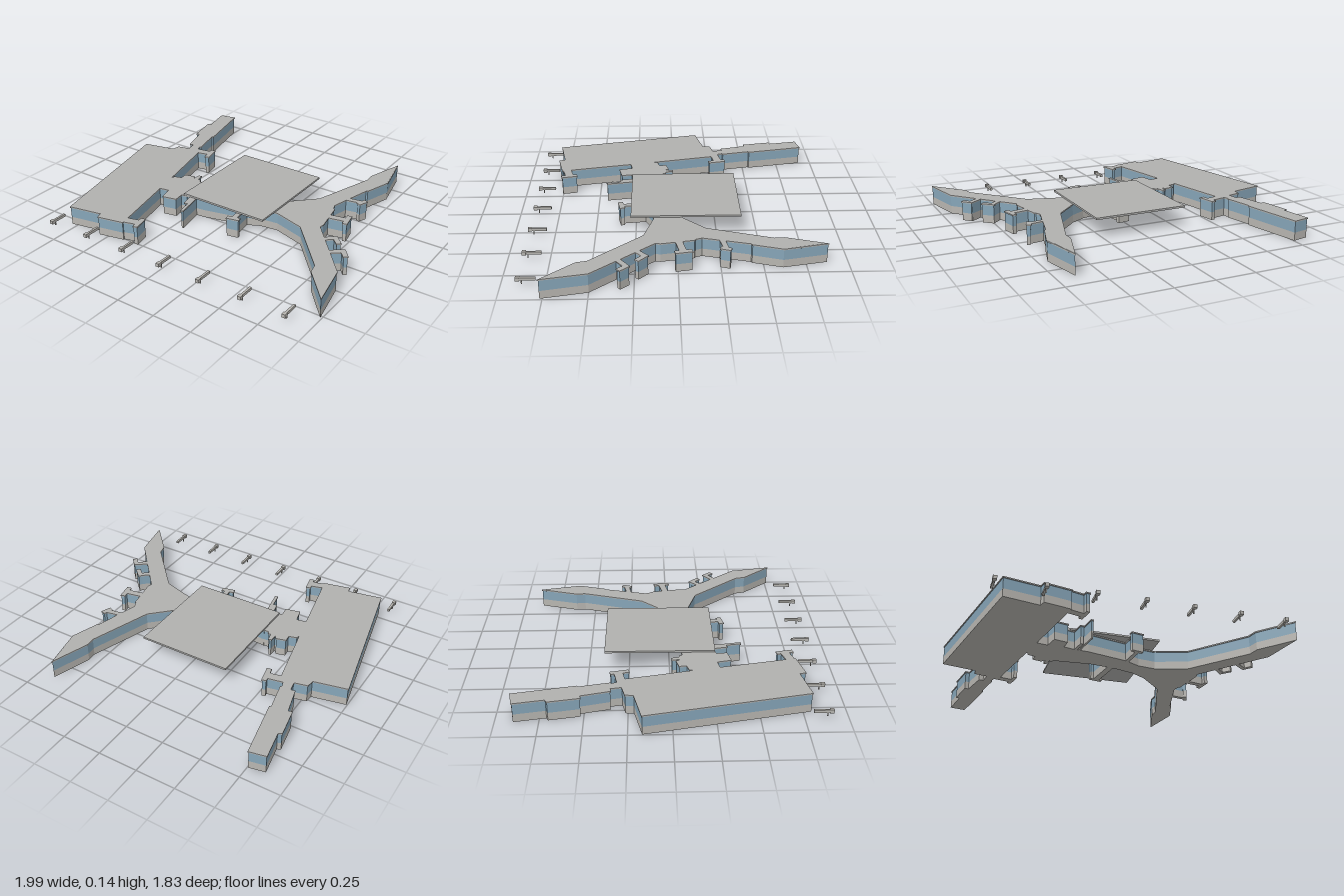
import * as THREE from 'three';

const mat = (name, color) => {
  const m = new THREE.MeshStandardMaterial({ color });
  m.name = name;
  return m;
};

export function createModel() {
  const model = new THREE.Group();
  model.name = 'airportTerminal';
  const concrete = mat('concrete', 0xb8b6b1);
  const glass = mat('glass', 0x86a5b8);
  const roof = mat('roof', 0xb0b0ae);

  // Extrudes a plan outline of [x, z] points between two heights
  const slab = (pts, y0, y1, eave = 0) => {
    const shape = new THREE.Shape(pts.map(([x, z]) => new THREE.Vector2(x, -z)));
    const t = eave ? 0.001 : 0;
    const geo = new THREE.ExtrudeGeometry(shape, {
      depth: y1 - y0 - 2 * t, bevelEnabled: eave > 0,
      bevelSize: eave, bevelThickness: t, bevelSegments: 1,
    });
    return geo.rotateX(-Math.PI / 2).translate(0, y0 + t, 0);
  };

  // Concrete base, glazed band and roof over one outline
  const building = (name, pts) => {
    const g = new THREE.Group();
    g.name = name;
    const add = (part, geo, m) => {
      const mesh = new THREE.Mesh(geo, m);
      mesh.name = part;
      g.add(mesh);
    };
    add('baseWall', slab(pts, 0, 0.05), concrete);
    add('glazing', slab(pts, 0.05, 0.115), glass);
    add('roofEdge', slab(pts, 0.115, 0.125, 0.004), roof);
    model.add(g);
  };

  // Straight corridor outline from a to b
  const strip = ([ax, az], [bx, bz], w) => {
    const l = Math.hypot(bx - ax, bz - az);
    const nx = (-(bz - az) / l) * w / 2, nz = ((bx - ax) / l) * w / 2;
    return [[ax + nx, az + nz], [bx + nx, bz + nz], [bx - nx, bz - nz], [ax - nx, az - nz]];
  };

  building('westHall', [
    [-0.995, -0.17], [-0.785, -0.215], [-0.78, -0.265], [-0.69, -0.285], [-0.61, -0.27],
    [-0.52, 0.145], [-0.49, 0.29], [-0.4, 0.73], [-0.395, 0.76], [-0.56, 0.795],
    [-0.57, 0.755], [-0.79, 0.797],
  ]);
  building('westPier', [
    [-0.855, -0.895], [-0.755, -0.915], [-0.68, -0.545], [-0.69, -0.54], [-0.65, -0.355],
    [-0.66, -0.35], [-0.645, -0.31], [-0.61, -0.3], [-0.61, -0.25], [-0.69, -0.25],
    [-0.71, -0.355], [-0.738, -0.35], [-0.783, -0.525], [-0.808, -0.518], [-0.842, -0.7],
    [-0.82, -0.71],
  ]);
  building('connector', [
    [-0.56, 0.14], [-0.515, 0.14], [-0.51, 0.115], [-0.46, 0.1], [-0.465, 0.055],
    [-0.405, 0.04], [-0.395, 0.06], [-0.385, 0.06], [-0.385, 0.012], [-0.37, 0.01],
    [-0.36, 0.06], [-0.34, 0.06], [-0.335, 0.08], [-0.28, 0.075], [-0.28, 0.275],
    [-0.32, 0.285], [-0.312, 0.35], [-0.4, 0.368], [-0.42, 0.28], [-0.53, 0.3],
  ]);
  building('centralHall', [
    [-0.3, 0.075], [-0.1, 0.09], [0.06, 0.07], [0.2, 0.03], [0.32, -0.04],
    [0.32, 0.135], [0.2, 0.15], [0.1, 0.2], [-0.16, 0.26], [-0.3, 0.275],
  ]);
  building('eastConcourse', [
    [0.28, -0.01], [0.44, -0.17], [0.57, -0.57], [0.565, -0.63], [0.64, -0.875],
    [0.695, -0.61], [0.64, -0.435], [0.63, -0.43], [0.555, -0.145], [0.57, -0.105],
    [0.58, -0.1], [0.6, 0.01], [0.617, 0.1], [0.61, 0.13], [0.935, 0.5],
    [0.99, 0.765], [0.82, 0.575], [0.805, 0.51], [0.52, 0.197], [0.28, 0.125],
  ]);

  // T-shaped gates: corridor start and end, head start and end, widths
  const gates = [
    [[-0.66, -0.285], [-0.53, -0.31], [-0.538, -0.355], [-0.515, -0.25], 0.045],
    [[-0.42, 0.735], [-0.31, 0.705], [-0.318, 0.66], [-0.298, 0.755], 0.045],
    [[0.57, -0.26], [0.68, -0.28], [0.692, -0.305], [0.672, -0.25], 0.025],
    [[0.58, -0.005], [0.71, -0.03], [0.7, -0.08], [0.718, 0.015], 0.035],
    [[0.685, 0.25], [0.752, 0.19], [0.742, 0.18], [0.8, 0.235], 0.025],
    [[0.79, 0.345], [0.865, 0.29], [0.855, 0.285], [0.9, 0.335], 0.025],
    [[0.11, 0.18], [0.13, 0.34], [0.09, 0.35], [0.165, 0.335], 0.025],
    [[0.04, 0.1], [0, -0.14], [-0.04, -0.135], [0.04, -0.15], 0.04],
  ];
  gates.forEach(([a, b, c, d, w], i) => {
    building(`gateCorridor${i + 1}`, strip(a, b, w));
    building(`gateHead${i + 1}`, strip(c, d, 0.024));
  });
  building('frontStub', strip([-0.245, 0.25], [-0.225, 0.355], 0.02));
  building('frontCorridor', strip([-0.222, 0.25], [-0.187, 0.445], 0.012));

  // Flat main roof over the central hall
  const plate = new THREE.Mesh(new THREE.BoxGeometry(0.6, 0.012, 0.68), roof);
  plate.name = 'mainRoof';
  plate.position.set(0, 0.131, -0.06);
  model.add(plate);

  // Row of free-standing boarding bridges
  for (let i = -3; i <= 3; i++) {
    const bridge = new THREE.Group();
    bridge.name = `boardingBridge${i + 4}`;
    bridge.position.x = i * 0.284;
    const box = (name, w, h, d, y, z) => {
      const m = new THREE.Mesh(new THREE.BoxGeometry(w, h, d), concrete);
      m.name = name;
      m.position.set(0, y, z);
      bridge.add(m);
    };
    box('tunnel', 0.014, 0.017, 0.095, 0.044, 0.847);
    box('cab', 0.023, 0.022, 0.024, 0.044, 0.902);
    box('leg', 0.006, 0.026, 0.006, 0.023, 0.88);
    model.add(bridge);
  }
  return model;
}
